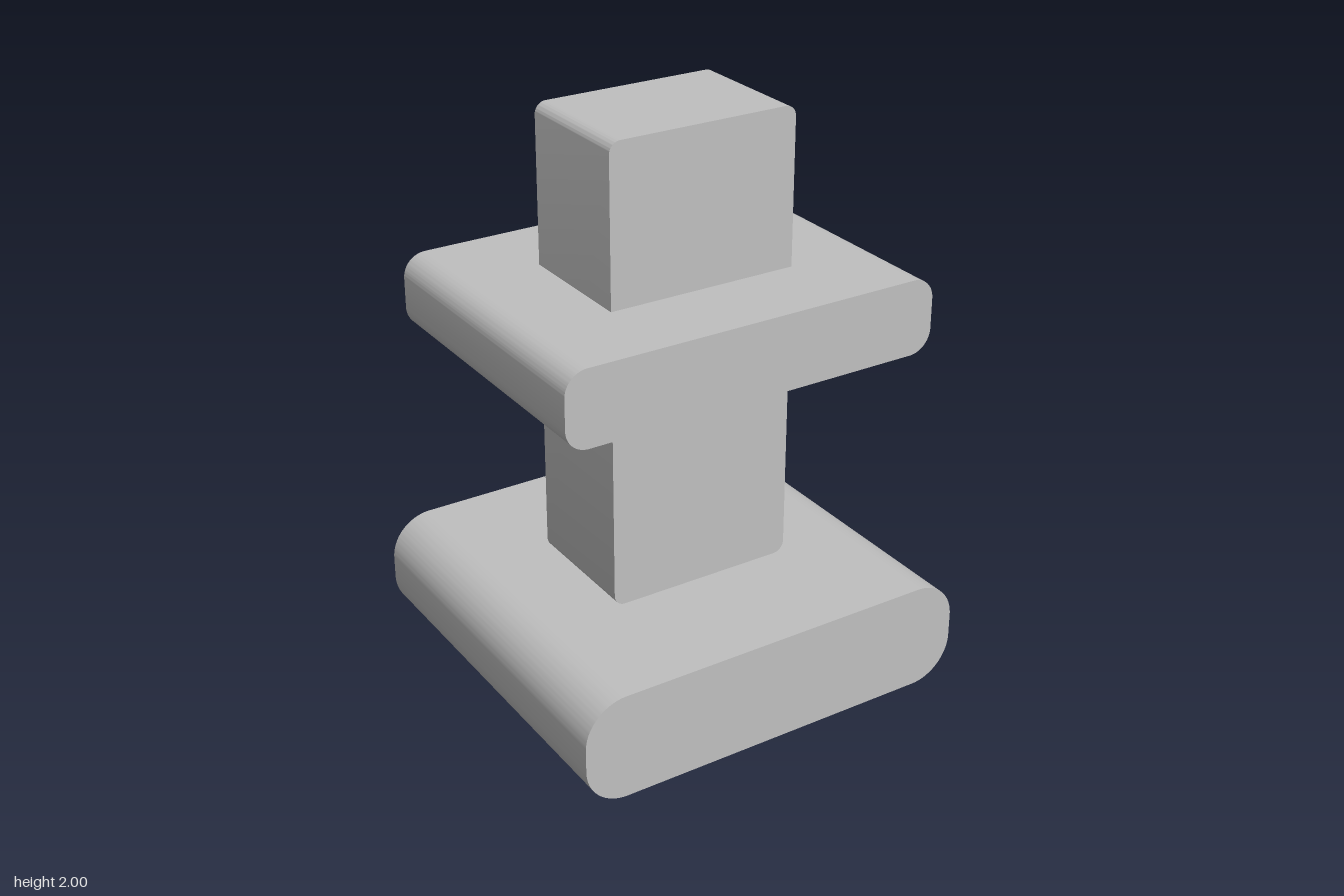
import * as THREE from 'three';
import { toCreasedNormals } from 'three/addons/utils/BufferGeometryUtils.js';

// Slab with a rounded-rectangle outline in x/y, extruded straight along z
function roundedSlab(name, halfWidth, bottom, top, halfDepth, r, material) {
  const w = halfWidth;
  const s = new THREE.Shape();
  s.moveTo(-w + r, bottom);
  s.lineTo(w - r, bottom);
  s.absarc(w - r, bottom + r, r, -Math.PI / 2, 0);
  s.lineTo(w, top - r);
  s.absarc(w - r, top - r, r, 0, Math.PI / 2);
  s.lineTo(-w + r, top);
  s.absarc(-w + r, top - r, r, Math.PI / 2, Math.PI);
  s.lineTo(-w, bottom + r);
  s.absarc(-w + r, bottom + r, r, Math.PI, Math.PI * 1.5);
  const geometry = new THREE.ExtrudeGeometry(s, {
    depth: halfDepth * 2, bevelEnabled: false, curveSegments: 16,
  });
  geometry.translate(0, 0, -halfDepth);
  const mesh = new THREE.Mesh(toCreasedNormals(geometry, 0.5), material);
  mesh.name = name;
  return mesh;
}

export function createModel() {
  const grey = new THREE.MeshStandardMaterial({ color: 0xbfbfbf });
  grey.name = 'plain grey';

  const model = new THREE.Group();
  model.name = 'steppedPedestal';
  model.add(
    roundedSlab('base', 0.725, 0, 0.38, 0.685, 0.15, grey),
    roundedSlab('post', 0.342, 0.38, 2, 0.227, 0.04, grey),
    roundedSlab('collar', 0.685, 1.185, 1.45, 0.533, 0.08, grey),
  );
  return model;
}
